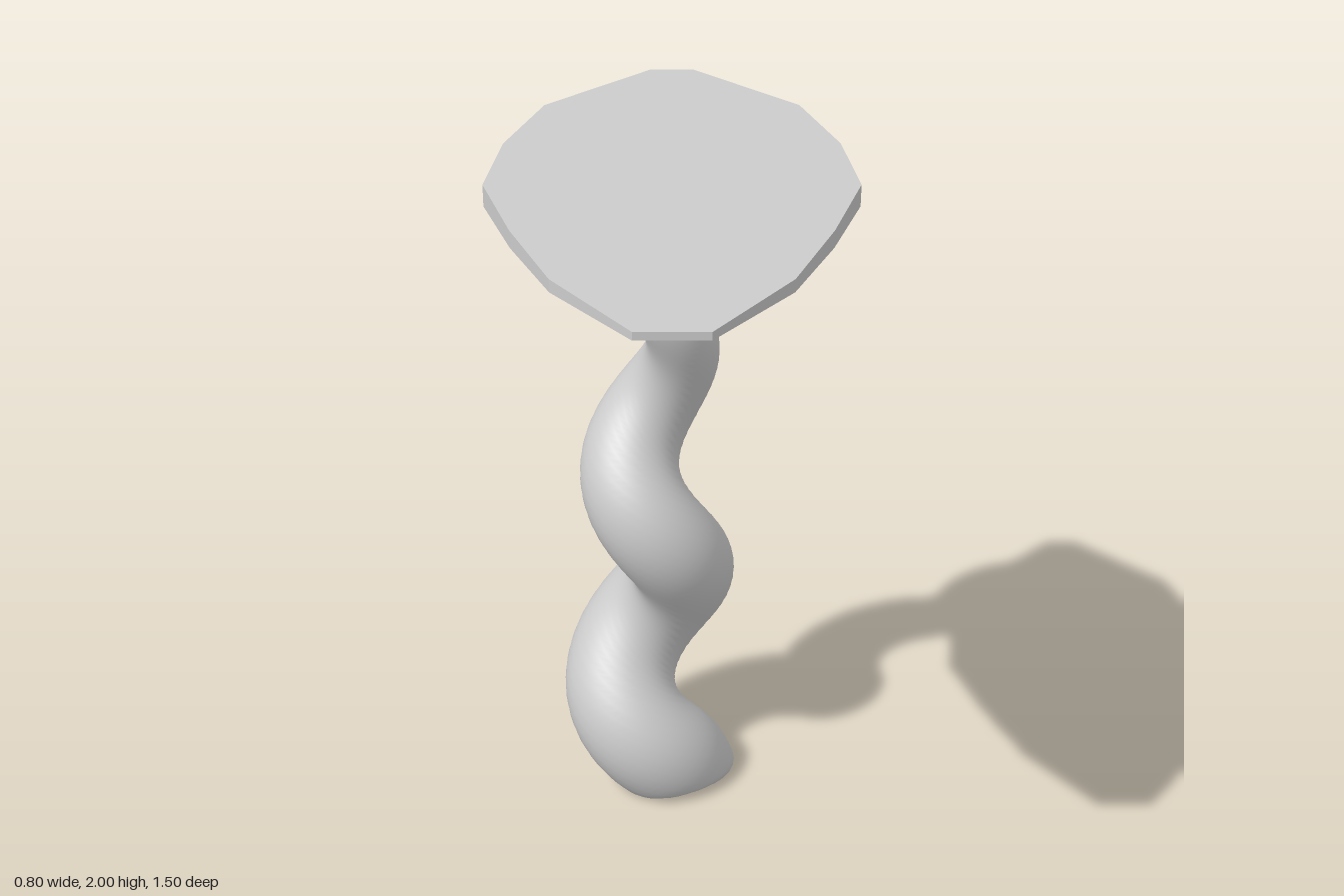
import * as THREE from 'three';

const grey = () => new THREE.MeshStandardMaterial({ color: 0xcccccc });

// Corkscrew keys, one per half turn: height, helix radius, tube radius
const KEYS = [
  [0, 0.10, 0.15], [0.29, 0.078, 0.15], [0.64, 0.077, 0.138], [0.96, 0.072, 0.128],
  [1.3, 0.05, 0.093], [1.56, 0.043, 0.075], [1.8, 0.02, 0.042], [1.96, 0.008, 0.03],
];
const TURNS = (KEYS.length - 1) / 2;
const keyCurve = new THREE.CatmullRomCurve3(
  KEYS.map(k => new THREE.Vector3(...k)), false, 'catmullrom', 0.5);

function stemCentre(t) {
  const k = keyCurve.getPoint(THREE.MathUtils.clamp(t, 0, 1));
  const a = t * TURNS * Math.PI * 2;
  return new THREE.Vector3(
    -0.075 + 0.04 * k.x + k.y * Math.cos(a), k.x, -0.53 + k.y * Math.sin(a));
}

// Tapering tube swept along the helix, starting on a level foot
function stemGeometry(steps = 180, sides = 28) {
  const pos = [], index = [], up = new THREE.Vector3(0, 1, 0);
  for (let i = 0; i <= steps; i++) {
    const t = i / steps, a = t * TURNS * Math.PI * 2;
    const c = stemCentre(t), r = keyCurve.getPoint(t).z;
    const tan = stemCentre(Math.min(t + 0.002, 1))
      .sub(stemCentre(Math.max(t - 0.002, 0))).normalize();
    const T = up.clone().lerp(tan, THREE.MathUtils.smoothstep(t * TURNS, 0, 0.22)).normalize();
    const n = new THREE.Vector3(Math.cos(a), 0, Math.sin(a));
    n.addScaledVector(T, -n.dot(T)).normalize();
    const b = T.clone().cross(n);
    for (let j = 0; j < sides; j++) {
      const f = j / sides * Math.PI * 2;
      const p = c.clone().addScaledVector(n, r * Math.cos(f)).addScaledVector(b, r * Math.sin(f));
      pos.push(p.x, Math.max(p.y, 0), p.z);
      if (i === steps) continue;
      const q = i * sides + j, s = i * sides + (j + 1) % sides;
      index.push(q, s, q + sides, s, s + sides, q + sides);
    }
  }
  const g = new THREE.BufferGeometry();
  g.setAttribute('position', new THREE.Float32BufferAttribute(pos, 3));
  g.setIndex(index);
  g.computeVertexNormals();
  return g;
}

// Leaf slab: faceted outline, thick at the stem and thin at the tip
function leafGeometry() {
  const half = [[0.05, -0.575], [0.29, -0.355], [0.37, -0.135], [0.4, 0.085],
    [0.33, 0.31], [0.24, 0.53], [0.075, 0.75]];
  const outline = [...half, ...half.map(([x, z]) => [-x, z]).reverse()];
  const shape = new THREE.Shape(outline.map(([x, z]) => new THREE.Vector2(x, -z)));
  const g = new THREE.ExtrudeGeometry(shape, { depth: 1, bevelEnabled: false });
  g.rotateX(-Math.PI / 2);
  const p = g.attributes.position;
  for (let i = 0; i < p.count; i++) {
    const k = (p.getZ(i) + 0.575) / 1.325;
    p.setY(i, p.getY(i) > 0.5 ? 2 - 0.027 * k : 1.92 + 0.035 * k);
  }
  g.computeVertexNormals();
  return g;
}

export function createModel() {
  const model = new THREE.Group();
  model.name = 'leafPlatform';

  const stem = new THREE.Mesh(stemGeometry(), grey());
  stem.name = 'twistedStem';

  // Flat underside of the stem
  const foot = new THREE.Mesh(new THREE.CircleGeometry(0.15, 28), grey());
  foot.name = 'stemFoot';
  foot.rotation.x = Math.PI / 2;
  foot.position.copy(stemCentre(0));

  const leaf = new THREE.Mesh(leafGeometry(), grey());
  leaf.name = 'leaf';

  model.add(stem, foot, leaf);
  return model;
}
